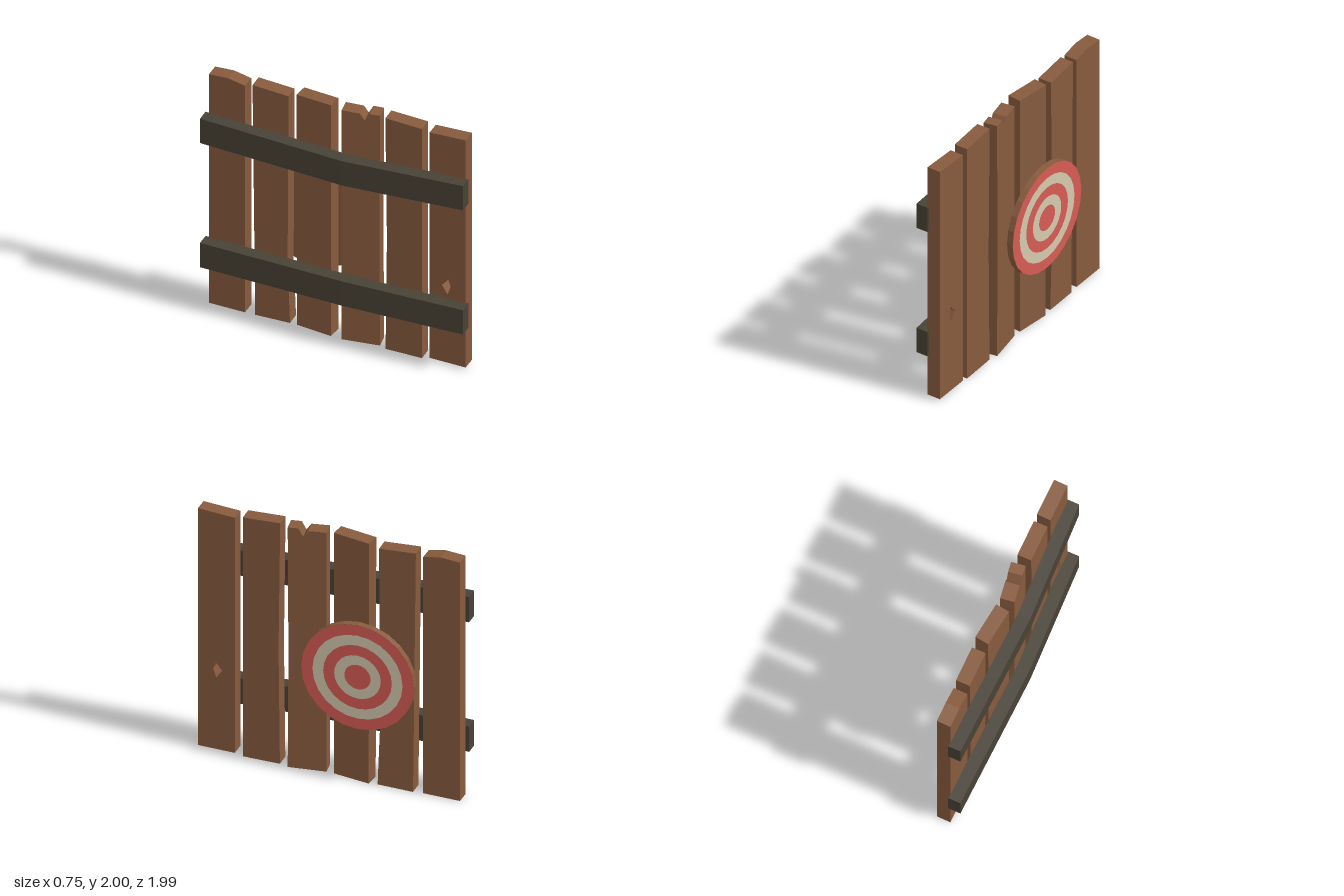
import * as THREE from 'three';

const mat = (name, color) => {
  const m = new THREE.MeshStandardMaterial({ color });
  m.name = name;
  return m;
};

export function createModel() {
  const wood = mat('plankBrown', 0x875b3e);
  const dark = mat('beamBrown', 0x484236);
  const red = mat('targetRed', 0xd85b55);
  const cream = mat('targetCream', 0xd6caae);

  const model = new THREE.Group();
  model.name = 'targetFence';
  const add = (parent, name, geometry, material) => {
    const mesh = new THREE.Mesh(geometry, material);
    mesh.name = name;
    parent.add(mesh);
    return mesh;
  };
  const faceted = (geometry) => {
    const g = geometry.toNonIndexed();
    g.computeVertexNormals();
    return g;
  };
  // turns a part so that its +z points out of the fence
  const facing = (degrees) => Math.PI / 2 + THREE.MathUtils.degToRad(degrees);

  // Planks: x = where the front's leading edge stands, turn = yaw in degrees,
  // outline and hole = front face as [z, y], starting at the leading edge
  const planks = [
    { x: 0.375, turn: 15.3,
      outline: [[0.925, 0.02], [0.652, 0.02], [0.652, 1.97], [0.925, 1.985]],
      hole: [[0.794, 0.74], [0.746, 0.68], [0.789, 0.61], [0.812, 0.685]] },
    { x: 0.28, turn: 16.5,
      outline: [[0.596, 0.003], [0.325, 0.003], [0.335, 0.96], [0.323, 1.998], [0.596, 1.985]] },
    { x: 0.2, turn: 24.5,
      outline: [[0.255, 0.003], [-0.003, 0.003], [-0.003, 1.985], [0.12, 1.98],
        [0.152, 1.928], [0.184, 1.992], [0.255, 1.99], [0.25, 0.96]] },
    { x: 0.07, turn: 9.5,
      outline: [[-0.06, 0.004], [-0.335, 0], [-0.34, 1.99], [-0.06, 2]] },
    { x: 0, turn: 16.8,
      outline: [[-0.397, 0.005], [-0.655, 0], [-0.675, 1.982], [-0.408, 1.963], [-0.415, 0.5]] },
    { x: -0.105, turn: 15.5,
      outline: [[-0.725, 0.003], [-0.997, 0.003], [-0.997, 1.98], [-0.853, 1.99], [-0.725, 1.963]] },
  ];
  const depth = 0.106;
  planks.forEach(({ x, turn, outline, hole }, i) => {
    const z0 = outline[0][0];
    const stretch = 1 / Math.cos(THREE.MathUtils.degToRad(turn));
    const flat = ([z, y]) => new THREE.Vector2((z0 - z) * stretch, y);
    const shape = new THREE.Shape(outline.map(flat));
    if (hole) shape.holes.push(new THREE.Path(hole.map(flat)));
    const geometry = new THREE.ExtrudeGeometry(shape, { depth, bevelEnabled: false });
    geometry.translate(0, 0, -depth);
    const plank = add(model, `plank${i + 1}`, geometry, wood);
    plank.position.set(x, 0, z0);
    plank.rotation.y = facing(turn);
  });

  // Beams across the back, bent in the middle; stations run from -z to +z
  const stations = [[-0.378, -0.97], [-0.096, 0.117], [0.198, 0.993]];
  const beam = (name, heights) => {
    const geometry = new THREE.BoxGeometry(1, 0.21, 2, 1, 1, 2);
    const p = geometry.attributes.position;
    for (let i = 0; i < p.count; i++) {
      const s = Math.round(p.getZ(i)) + 1;
      const front = p.getX(i) > 0 ? 1 : 0;
      p.setXYZ(i, stations[s][0] + 0.092 * front, heights[s] + p.getY(i),
        stations[s][1] - 0.027 * front);
    }
    add(model, name, faceted(geometry), dark);
  };
  beam('upperBeam', [1.54, 1.515, 1.542]);
  beam('lowerBeam', [0.465, 0.475, 0.468]);

  // Round target: wooden disc with painted rings
  const target = new THREE.Group();
  target.name = 'target';
  target.position.set(0.095, 0.9, -0.29);
  target.rotation.y = facing(16.2);
  model.add(target);
  const sides = 24;
  const disc = new THREE.CylinderGeometry(0.43, 0.43, 0.048, sides);
  disc.rotateX(Math.PI / 2).translate(0, 0, -0.026);
  add(target, 'targetDisc', faceted(disc), wood);
  const radii = [0.43, 0.344, 0.262, 0.178, 0.1, 0];
  for (let i = 0; i < 5; i++) {
    const ring = i < 4
      ? new THREE.RingGeometry(radii[i + 1], radii[i], sides, 1, Math.PI / 2)
      : new THREE.CircleGeometry(radii[i], sides, Math.PI / 2);
    add(target, i < 4 ? `targetRing${i + 1}` : 'bullseye', ring, i % 2 ? cream : red);
  }
  return model;
}
